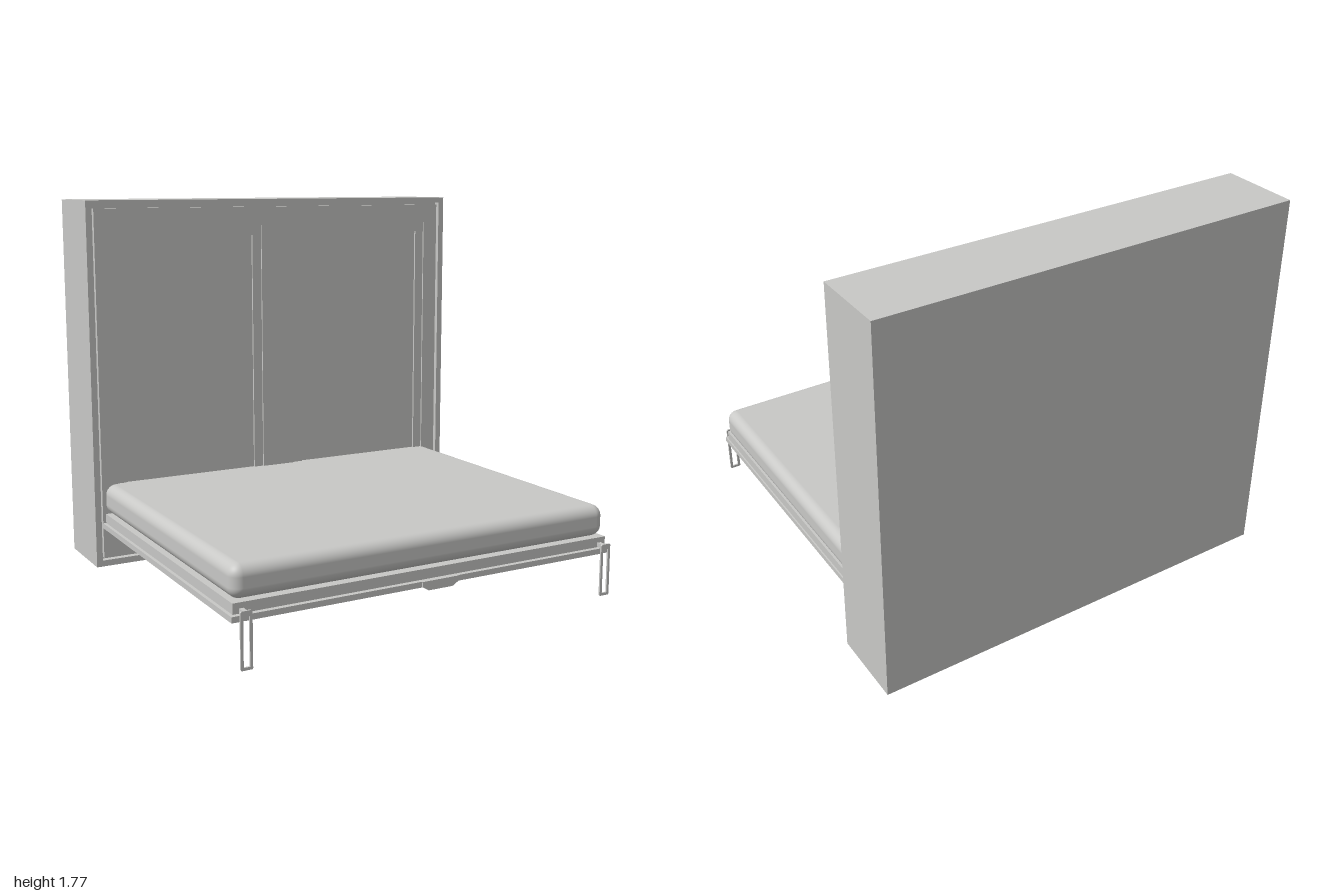
import * as THREE from 'three';
import { RoundedBoxGeometry } from 'three/addons/geometries/RoundedBoxGeometry.js';

export function createModel() {
  const model = new THREE.Group();
  const grey = new THREE.MeshStandardMaterial({ color: 0xc8c8c6 });
  grey.name = 'light grey';

  const add = (name, geometry, parent = model) => {
    const mesh = new THREE.Mesh(geometry, grey);
    mesh.name = name;
    parent.add(mesh);
    return mesh;
  };
  // box given by its limits on each axis
  const box = (name, [x0, x1], [y0, y1], [z0, z1], parent) =>
    add(name, new THREE.BoxGeometry(x1 - x0, y1 - y0, z1 - z0), parent)
      .position.set((x0 + x1) / 2, (y0 + y1) / 2, (z0 + z1) / 2);
  const points = (list) => list.map(([x, y]) => new THREE.Vector2(x, y));
  const rect = ([x0, x1, y0, y1]) => points([[x0, y0], [x1, y0], [x1, y1], [x0, y1]]);
  // upright plate with openings, from z0 to z1
  const plate = (name, outline, holes, z0, z1, parent) => {
    const shape = new THREE.Shape(outline);
    holes.forEach((h) => shape.holes.push(new THREE.Path(h)));
    const geometry = new THREE.ExtrudeGeometry(shape, { depth: z1 - z0, bevelEnabled: false });
    geometry.translate(0, 0, z0);
    return add(name, geometry, parent);
  };

  // cabinet body and the raised rim around its front
  box('cabinetBody', [-1, 1], [0, 1.77], [-0.94, -0.61]);
  plate('cabinetRim', rect([-1, 1, 0, 1.77]), [rect([-0.97, 0.97, 0.03, 1.742])], -0.61, -0.577);

  // door face with two stepped, recessed panels
  const outer = [[-0.88, -0.09, 0.135, 1.64], [0.09, 0.88, 0.135, 1.64]];
  const inner = outer.map(([a, b, c, d]) => [a + 0.048, b - 0.048, c + 0.048, d - 0.048]);
  plate('doorFace', rect([-0.96, 0.96, 0.04, 1.732]), outer.map(rect), -0.61, -0.584);
  outer.forEach((o, i) => {
    plate('panelMoulding', rect(o), [rect(inner[i])], -0.61, -0.592);
    plate('panelCentre', rect(inner[i]), [], -0.61, -0.602);
  });

  // fold-down bed: base board, side rails and mattress
  box('bedBase', [-0.96, 0.925], [0.19, 0.215], [-0.6, 0.915]);
  box('bedRail', [-0.945, 0.918], [0.215, 0.26], [-0.6, 0.892]);
  add('mattress', new RoundedBoxGeometry(1.865, 0.145, 1.54, 6, 0.05)).position.set(-0.008, 0.33, 0.11);

  // pull handle under the front edge
  plate('handle', points([[-0.09, 0.215], [-0.09, 0.192], [-0.06, 0.174], [0.06, 0.174], [0.09, 0.192], [0.09, 0.215]]),
    [], 0.905, 0.92);

  // two looped legs on short arms
  for (const [name, x] of [['rightLeg', -0.908], ['leftLeg', 0.883]]) {
    const leg = new THREE.Group();
    leg.name = name;
    leg.position.x = x;
    model.add(leg);
    plate('legLoop', points([[-0.026, 0.004], [-0.022, 0], [0.022, 0], [0.026, 0.004], [0.026, 0.234],
      [0.02, 0.24], [-0.02, 0.24], [-0.026, 0.234]]), [rect([-0.014, 0.014, 0.012, 0.216])], 0.932, 0.94, leg);
    box('legArm', [-0.01, 0.01], [0.218, 0.236], [0.885, 0.935], leg);
  }
  return model;
}
